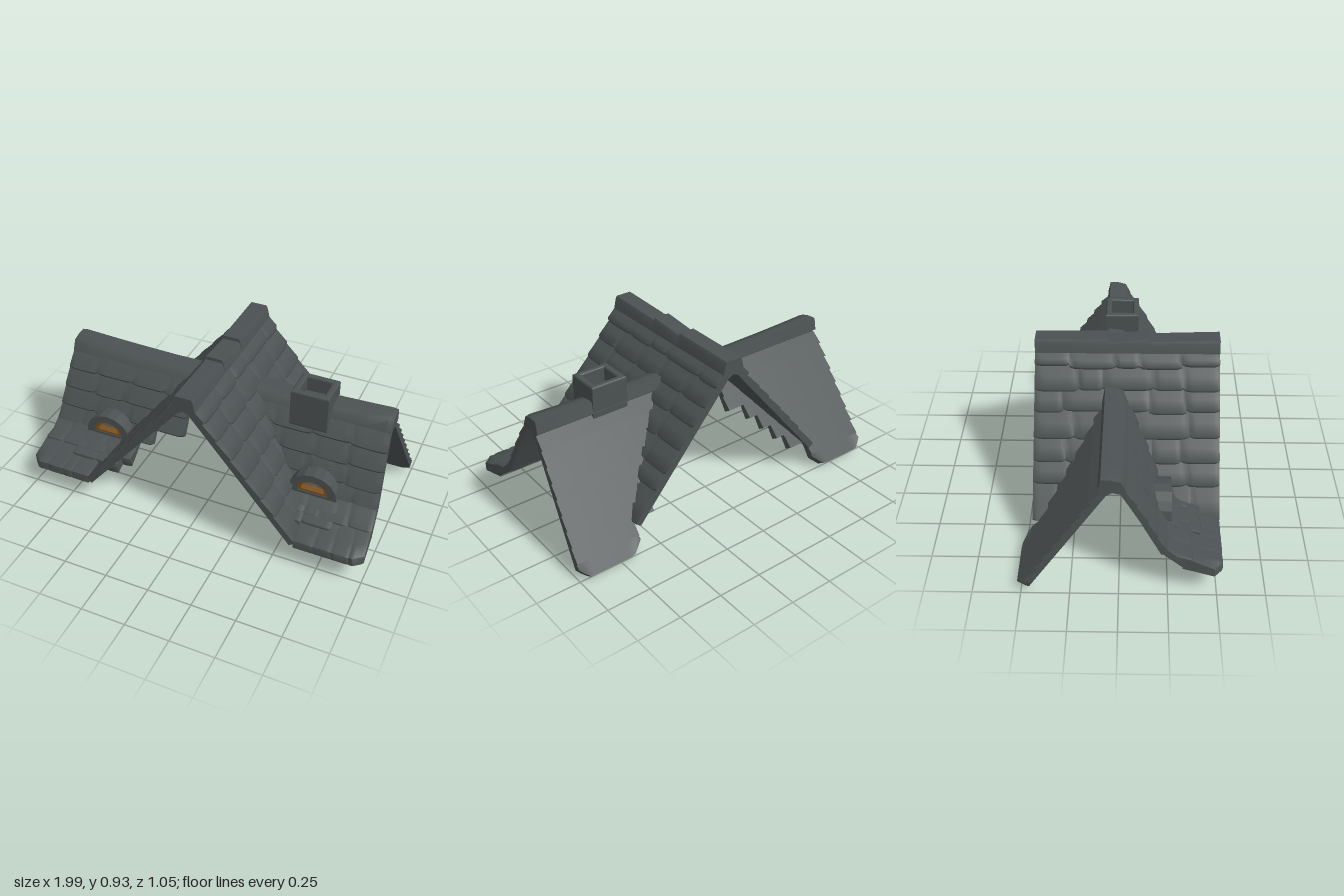
import * as THREE from 'three';
import { toCreasedNormals } from 'three/addons/utils/BufferGeometryUtils.js';

const slate = new THREE.MeshStandardMaterial({ color: 0x4b5152 });
slate.name = 'slate grey';
const wood = new THREE.MeshStandardMaterial({ color: 0x7c511e });
wood.name = 'warm wood';

let seed = 7;
const rand = () => (seed = (seed * 16807) % 2147483647) / 2147483647;

// Closed solid skinned over a list of equal-length cross-sections
function loft(rings) {
  const tris = [];
  const n = rings[0].length;
  for (let i = 0; i + 1 < rings.length; i++) {
    for (let j = 0; j < n; j++) {
      const k = (j + 1) % n;
      const [a, b, c, d] = [rings[i][j], rings[i][k], rings[i + 1][k], rings[i + 1][j]];
      tris.push([a, b, c], [a, c, d]);
    }
  }
  for (const [ring, flip] of [[rings[0], true], [rings[rings.length - 1], false]]) {
    const mid = ring.reduce((m, p) => m.add(p), new THREE.Vector3()).divideScalar(n);
    for (let j = 0; j < n; j++) {
      const k = (j + 1) % n;
      tris.push(flip ? [mid, ring[k], ring[j]] : [mid, ring[j], ring[k]]);
    }
  }
  // Turn the faces outward whichever way the sections were wound
  const cross = new THREE.Vector3();
  let volume = 0;
  for (const [a, b, c] of tris) volume += a.dot(cross.crossVectors(b, c));
  const pts = tris.flatMap(([a, b, c]) => (volume < 0 ? [a, c, b] : [a, b, c]));
  return toCreasedNormals(new THREE.BufferGeometry().setFromPoints(pts), 0.9);
}

function add(parent, name, geometry, material = slate) {
  const mesh = new THREE.Mesh(geometry, material);
  mesh.name = name;
  parent.add(mesh);
}

// Slope line through 2D points: returns the point at fraction s, raised by off
function slope(points) {
  const curve = new THREE.SplineCurve(points.map(([a, b]) => new THREE.Vector2(a, b)));
  return (s, off = 0) => {
    const q = Math.min(1, Math.max(0, s));
    const p = curve.getPointAt(q);
    const t = curve.getTangentAt(q);
    const sign = t.x > 0 ? 1 : -1;
    return [p.x - t.y * sign * off, p.y + t.x * sign * off];
  };
}

// One course of shingles, tucked under the course above and lipped at its lower edge;
// trim shortens the lower edge and notch lowers the upper edge along its length
function course(at, place, o) {
  const { s0, s1, u0, u1, count = 1, t0 = 0.033, t1 = 0.044, wave = 0.012, trim = () => 0, notch = () => 0 } = o;
  const cuts = [u0];
  for (let k = 1; k < count; k++) cuts.push(u0 + ((u1 - u0) * (k + (rand() - 0.5) * 0.5)) / count);
  cuts.push(u1);
  const steps = count === 1 ? 14 : 10;
  const rings = [];
  for (let k = 0; k < count; k++) {
    const drop = (rand() - 0.5) * 1.6 * wave;
    const end = k === count - 1 ? cuts[k + 1] : cuts[k + 1] - 0.002;
    for (let i = 0; i <= steps; i++) {
      const v = i / steps;
      const u = cuts[k] + (end - cuts[k]) * v;
      const round = Math.sqrt(Math.max(0, 1 - (2 * v - 1) ** 4));
      const top = Math.max(0, s0 - 0.035) + notch(u);
      const low = s1 + drop + wave * (round - 1) - trim(u);
      const puff = wave * 0.5 * round;
      const sec = [[top, t0], [(top + low) / 2, (t0 + t1) / 2 + puff], [low - wave * 0.8, t1 + puff * 0.6],
        [low, t1 - wave * 0.5], [low, 0], [top, 0]];
      rings.push(sec.map(([s, off]) => {
        const [h, y] = at(s, off);
        return place(h, y, u, s);
      }));
    }
  }
  return loft(rings);
}

// Half-round arch outline standing on its base line
function archShape(rx, ry, base) {
  const shape = new THREE.Shape();
  shape.moveTo(-rx, base);
  shape.lineTo(rx, base);
  for (let i = 1; i <= 8; i++) {
    const a = (Math.PI * i) / 8;
    shape.lineTo(rx * Math.cos(a), base + 0.012 + (ry - 0.012) * Math.sin(a));
  }
  return shape;
}

function arch(outer, hole, z0, z1) {
  const shape = archShape(...outer);
  if (hole) shape.holes.push(archShape(...hole));
  return new THREE.ExtrudeGeometry(shape, { depth: z1 - z0, bevelEnabled: false }).translate(0, 0, z0);
}

const mainLine = slope([[0.03, 0.83], [0.605, 0.14]]);
const frontLine = slope([[0.01, 0.64], [0.1, 0.485], [0.18, 0.33], [0.225, 0.25], [0.29, 0.192], [0.45, 0.14], [0.53, 0.138]]);
const backLine = slope([[-0.06, 0.63], [-0.485, 0.005]]);

// Where a wing course starting at height y ends beneath the main roof
function innerX(y) {
  if (y > 0.58) return 0.13;
  if (y < 0.2) return 0.62;
  return y > 0.43 ? 0.18 : (0.865 - y) / 1.2 - 0.03 - 0.1 * y;
}

function mainSlope(side) {
  const g = new THREE.Group();
  g.name = 'mainSlope';
  const place = (h, y, u) => new THREE.Vector3(side * h, y, u);
  const cuts = [0, 0.09, 0.23, 0.36, 0.51, 0.66, 0.785];
  for (let i = 0; i < 6; i++) {
    add(g, 'shingleCourse', course(mainLine, place, {
      s0: cuts[i], s1: cuts[i + 1], u0: -0.465, u1: 0.53, count: 5, t0: i ? 0.033 : 0.046, t1: i ? 0.044 : 0.052,
    }));
  }
  // Lowest course leaves the middle open beneath the wing
  for (const [u0, u1] of [[-0.465, -0.21], [0.275, 0.53]]) {
    add(g, 'eaveCourse', course(mainLine, place, { s0: 0.785, s1: 1, u0, u1, count: 2, t1: 0.038, wave: 0.008 }));
  }
  return g;
}

function wing(side) {
  const g = new THREE.Group();
  g.name = 'wing';
  const place = (z, y, u, s) => new THREE.Vector3(side * u * (0.957 + 0.043 * s), y, z);
  // Rounded shingles on the front, thickening and flaring out at the eave
  const cuts = [0, 0.14, 0.28, 0.42, 0.55, 0.76, 1];
  const thick = [[0.028, 0.038], [0.028, 0.038], [0.028, 0.038], [0.028, 0.042], [0.04, 0.072], [0.07, 0.05]];
  const opening = (u) => (Math.abs(u - 0.641) < 0.075 ? 1 : 0);
  for (let i = 0; i < 6; i++) {
    add(g, 'frontCourse', course(frontLine, place, {
      s0: cuts[i], s1: cuts[i + 1], u0: innerX(frontLine(cuts[i])[1]), u1: 1, count: 4,
      t0: thick[i][0], t1: thick[i][1], wave: i === 5 ? 0.004 : 0.011,
      trim: (u) => (i === 5 ? Math.max(0, u - 0.95) * 1.1 : i === 2 ? opening(u) * 0.06 : 0),
      notch: (u) => (i === 3 ? opening(u) * 0.075 : 0),
    }));
  }
  // Straight lapped boards on the back
  for (let i = 0; i < 9; i++) {
    const s0 = i / 9;
    const u0 = innerX(backLine(s0)[1]);
    add(g, 'backBoard', course(backLine, place, {
      s0, s1: (i + 1) / 9, u0, u1: 1, t0: 0.025, t1: 0.046, wave: 0,
      trim: (u) => (i === 8 ? Math.max(0, u - 0.95, u0 + 0.06 - u) * 1.4 : 0),
    }));
  }
  // Ridge cap, rising slightly towards the gable
  const cap = [[0.04, 0.655], [0.012, 0.705], [-0.035, 0.718], [-0.085, 0.72], [-0.1, 0.66], [-0.06, 0.63], [-0.03, 0.65], [0.01, 0.64]];
  const stations = [[0.13, 0], [0.35, -0.003], [0.6, 0.002], [0.8, 0.009], [0.93, 0.015], [0.957, 0.01]];
  add(g, 'wingRidge', loft(stations.map(([x, lift]) =>
    cap.map(([z, y], i) => new THREE.Vector3(side * x, y + (i > 0 && i < 4 ? lift : 0), z)))));
  // Eyebrow dormer with a deep window and an apron below
  const dormer = new THREE.Group();
  dormer.name = 'dormer';
  dormer.position.x = side * 0.625;
  add(dormer, 'hood', arch([0.138, 0.135, 0.29], [0.086, 0.08, 0.304], 0.172, 0.268));
  add(dormer, 'windowBack', arch([0.087, 0.081, 0.303], null, 0.152, 0.16), wood);
  add(dormer, 'windowFrame', arch([0.087, 0.081, 0.303], [0.066, 0.056, 0.318], 0.16, 0.264), wood);
  add(dormer, 'windowPane', arch([0.067, 0.057, 0.317], null, 0.16, 0.167));
  g.add(dormer);
  add(g, 'apron', course(frontLine, place, {
    s0: 0.59, s1: 0.83, u0: 0.5, u1: 0.79, count: 2, t0: 0.05, t1: 0.077, wave: 0.008,
  }));
  return g;
}

// Three overlapping ridge pieces along the main roof
function mainRidge() {
  const g = new THREE.Group();
  g.name = 'mainRidge';
  const pieces = [[0.53, 0.931, 0.155, 0.918], [0.155, 0.937, -0.07, 0.915], [-0.07, 0.933, -0.465, 0.928]];
  for (const [za, ya, zb, yb] of pieces) {
    const ring = (z, y) => [[0.046, y], [0.054, y - 0.014], [0.067, 0.858], [0.03, 0.83], [0, 0.845],
      [-0.03, 0.83], [-0.067, 0.858], [-0.054, y - 0.014], [-0.046, y]].map(([x, h]) => new THREE.Vector3(x, h, z));
    add(g, 'ridgePiece', loft([ring(za, ya), ring(zb, yb)]));
  }
  return g;
}

// Hollow square chimney
function chimney() {
  const square = (Type, h) => new Type([[-h, -h], [h, -h], [h, h], [-h, h]].map(([x, y]) => new THREE.Vector2(x, y)));
  const shape = square(THREE.Shape, 0.092);
  shape.holes.push(square(THREE.Path, 0.08));
  const geo = new THREE.ExtrudeGeometry(shape, {
    depth: 0.2, bevelThickness: 0.012, bevelSize: 0.012, bevelSegments: 3,
  });
  return geo.rotateX(-Math.PI / 2).scale(1.02, 1, 0.92).translate(0.52, 0.598, -0.003);
}

export function createModel() {
  const model = new THREE.Group();
  model.name = 'crossGableRoof';
  for (const side of [1, -1]) model.add(mainSlope(side), wing(side));
  model.add(mainRidge());
  add(model, 'chimney', chimney());
  return model;
}
